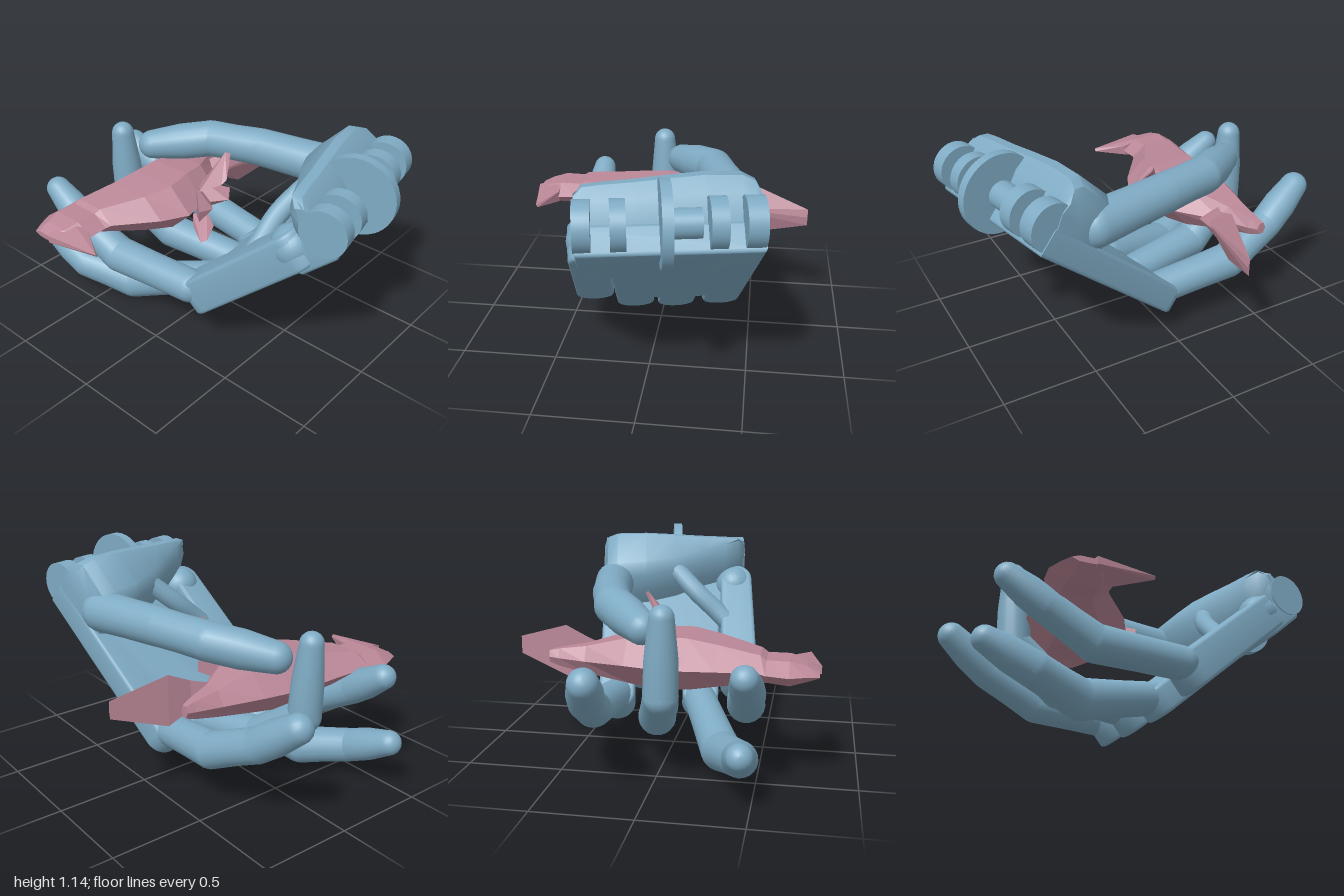
import * as THREE from 'three';
import { toCreasedNormals } from 'three/addons/utils/BufferGeometryUtils.js';
import { ConvexGeometry } from 'three/addons/geometries/ConvexGeometry.js';

const V = (x, y, z) => new THREE.Vector3(x, y, z);
const blue = new THREE.MeshStandardMaterial({ color: 0x7fabc4 });
const pink = new THREE.MeshStandardMaterial({ color: 0xbb8898, flatShading: true });

function add(parent, name, geometry, material = blue) {
  const mesh = new THREE.Mesh(geometry, material);
  mesh.name = name;
  parent.add(mesh);
  return mesh;
}

// Closed loft through rings of equal size, turned outward by its signed volume
function loft(rings) {
  const n = rings[0].length, tris = [];
  const mid = ring => ring.reduce((s, p) => s.add(p), V(0, 0, 0)).divideScalar(n);
  for (let i = 0; i < rings.length - 1; i++) {
    for (let j = 0; j < n; j++) {
      const k = (j + 1) % n, A = rings[i], B = rings[i + 1];
      tris.push([A[j], A[k], B[k]], [A[j], B[k], B[j]]);
    }
  }
  const first = rings[0], last = rings[rings.length - 1];
  for (let j = 0; j < n; j++) {
    const k = (j + 1) % n;
    tris.push([first[k], first[j], mid(first)], [last[j], last[k], mid(last)]);
  }
  const volume = tris.reduce((s, [a, b, c]) => s + a.dot(b.clone().cross(c)), 0);
  const points = tris.flatMap(([a, b, c]) => (volume > 0 ? [a, b, c] : [a, c, b]));
  const g = new THREE.BufferGeometry().setFromPoints(points);
  g.computeVertexNormals();
  return g;
}

// Tapered finger bone with rounded ends centred on p and q; swell scales its middle
function bone(parent, name, p, q, r1, r2, swell) {
  const length = p.distanceTo(q), profile = [];
  for (let i = 0; i <= 6; i++) {
    const t = (i / 6) * Math.PI / 2;
    profile.push(new THREE.Vector2(r1 * Math.sin(t), -r1 * Math.cos(t)));
  }
  profile.push(new THREE.Vector2((r1 + r2) / 2 * swell, length / 2));
  for (let i = 0; i <= 6; i++) {
    const t = (i / 6) * Math.PI / 2;
    profile.push(new THREE.Vector2(r2 * Math.cos(t), length + r2 * Math.sin(t)));
  }
  const mesh = add(parent, name, new THREE.LatheGeometry(profile, 20));
  mesh.position.copy(p);
  mesh.quaternion.setFromUnitVectors(V(0, 1, 0), q.clone().sub(p).normalize());
}

function finger(parent, name, joints, radii) {
  const group = new THREE.Group();
  group.name = name;
  const names = ['lowerBone', 'middleBone', 'fingertip'];
  const swells = [0.98, 0.97, 1.1];
  for (let i = 0; i < 3; i++) {
    bone(group, names[i], V(...joints[i]), V(...joints[i + 1]), radii[i], radii[i + 1], swells[i]);
  }
  parent.add(group);
}

function buildPalm() {
  // Local frame: x across the palm, y from knuckles to wrist, z out of the palm
  const palm = new THREE.Group();
  palm.name = 'palm';
  const across = V(0.195, 0, 0.98).normalize();
  const along = V(0.74, 0.657, -0.147).normalize();
  const out = across.clone().cross(along).normalize();
  palm.applyMatrix4(new THREE.Matrix4().makeBasis(across, along, out).setPosition(0.07, 0.2, -0.09));

  const slab = (name, shape, depth, z) => {
    const g = new THREE.ExtrudeGeometry(shape, {
      depth, bevelThickness: 0.02, bevelSize: 0.018, bevelSegments: 3, curveSegments: 12,
    });
    add(palm, name, toCreasedNormals(g.translate(0, 0, z), 0.6));
  };

  // Back plate with a rounded lobe for each of three knuckles
  const r = 0.083, plate = new THREE.Shape();
  plate.moveTo(-0.318, 1.0);
  [[-0.245, 0.03], [0, 0], [0.225, 0.03]].forEach(([x, y], i) => {
    plate.lineTo(x - r, y + (i ? 0.14 : 0));
    plate.absarc(x, y, r, Math.PI, 2 * Math.PI, false);
    if (i < 2) plate.lineTo(x + r, y + 0.13);
  });
  plate.lineTo(0.32, 0.22).lineTo(0.34, 0.6).lineTo(0.5, 0.8).lineTo(0.5, 1.0);
  plate.closePath();
  slab('palmPlate', plate, 0.11, -0.035);

  // Separate thick column below the little finger, with a round joint at its top
  const column = new THREE.Shape();
  column.absarc(0.445, 0.13, 0.083, Math.PI, 2 * Math.PI, false);
  column.absarc(0.465, 0.8, 0.075, 0, Math.PI, false);
  column.closePath();
  slab('littleFingerColumn', column, 0.155, -0.008);
  add(palm, 'columnJoint', new THREE.SphereGeometry(0.11, 24, 16)).position.set(0.455, 0.8, 0.085);

  // Heel of the hand: high at the thumb side, lower toward the little finger
  const heelSections = [[-0.335, 0.72, 0.24], [-0.31, 0.66, 0.31], [-0.25, 0.64, 0.345], [-0.08, 0.65, 0.35],
    [0.1, 0.7, 0.335], [0.25, 0.77, 0.32], [0.4, 0.82, 0.31], [0.48, 0.86, 0.3], [0.52, 0.9, 0.25]];
  const heel = heelSections.map(([x, start, h]) => [
    [start, 0.05], [start + 0.02, h * 0.5], [start + 0.06, h * 0.8], [start + 0.12, h * 0.96],
    [0.98, h], [1.02, h * 0.9], [1.03, h * 0.65], [1.0, 0.06], [0.96, 0],
  ].map(([y, z]) => V(x, y, z)));
  add(palm, 'heelOfHand', toCreasedNormals(loft(heel), 0.7));

  // Curved web from the heel to the little finger side
  const web = new THREE.CatmullRomCurve3([V(0.08, 0.82, 0.24), V(0.22, 0.65, 0.2), V(0.34, 0.55, 0.14), V(0.44, 0.46, 0.09)]);
  add(palm, 'palmWeb', new THREE.TubeGeometry(web, 16, 0.055, 12));

  // Wrist hinge lugs and the large centre disc
  const disc = (name, x, radius, width) => {
    const g = new THREE.CylinderGeometry(radius, radius, width, 40).rotateZ(Math.PI / 2);
    add(palm, name, g).position.set(x, 1.03, 0.085);
  };
  [[-0.285, 0.09], [-0.12, 0.08], [0.325, 0.07], [0.485, 0.08]].forEach(([x, w]) => disc('wristLug', x, 0.12, w));
  disc('wristDisc', 0.115, 0.205, 0.05);
  disc('wristPin', 0.03, 0.07, 0.16);
  return palm;
}

function buildHand() {
  const hand = new THREE.Group();
  hand.name = 'hand';
  hand.add(buildPalm());
  finger(hand, 'indexFinger',
    [[0.02, 0.26, -0.33], [-0.4, 0.31, -0.35], [-0.69, 0.44, -0.3], [-0.91, 0.6, -0.25]],
    [0.09, 0.098, 0.09, 0.075]);
  finger(hand, 'middleFinger',
    [[0.04, 0.245, -0.09], [-0.37, 0.28, -0.02], [-0.64, 0.47, 0.05], [-0.66, 0.86, 0.06]],
    [0.09, 0.098, 0.088, 0.062]);
  finger(hand, 'ringFinger',
    [[0.09, 0.245, 0.13], [-0.36, 0.11, 0.31], [-0.62, 0.175, 0.43], [-0.86, 0.28, 0.45]],
    [0.09, 0.105, 0.09, 0.066]);
  finger(hand, 'littleFinger',
    [[0.15, 0.355, 0.38], [-0.33, 0.36, 0.43], [-0.58, 0.49, 0.46], [-0.78, 0.62, 0.46]],
    [0.09, 0.098, 0.086, 0.066]);
  finger(hand, 'thumb',
    [[0.45, 0.83, -0.44], [0.02, 0.84, -0.35], [-0.27, 0.83, -0.265], [-0.54, 0.78, -0.06]],
    [0.115, 0.105, 0.103, 0.083]);
  return hand;
}

function buildCreature() {
  const creature = new THREE.Group();
  creature.name = 'creature';

  // Faceted body: z, left and right edges, bottom and top
  const sections = [
    [-0.55, -0.48, -0.43, 0.57, 0.63], [-0.5, -0.485, -0.4, 0.55, 0.64],
    [-0.36, -0.51, -0.33, 0.52, 0.66], [-0.15, -0.57, -0.15, 0.48, 0.71],
    [0.0, -0.59, -0.1, 0.455, 0.725], [0.15, -0.6, -0.06, 0.46, 0.72],
    [0.3, -0.605, -0.13, 0.49, 0.7], [0.51, -0.615, -0.29, 0.53, 0.67],
    [0.54, -0.625, -0.3, 0.54, 0.65], [0.65, -0.635, -0.3, 0.53, 0.65],
    [0.73, -0.6, -0.34, 0.55, 0.63], [0.79, -0.57, -0.42, 0.57, 0.6],
  ];
  add(creature, 'body', loft(sections.map(([z, x0, x1, y0, y1]) => {
    const ring = [];
    for (let i = 0; i < 6; i++) {
      const t = (i / 6) * Math.PI * 2;
      ring.push(V((x0 + x1) / 2 + Math.cos(t) * (x1 - x0) / 2,
        (y0 + y1) / 2 + Math.sin(t) / 0.866 * (y1 - y0) / 2, z));
    }
    return ring;
  })), pink);

  // Pointed snout turned to the side
  const hull = (name, points) => add(creature, name, new ConvexGeometry(points.map(p => V(...p))), pink);
  hull('snout', [[-0.45, 0.53, 0.65], [-0.45, 0.65, 0.65], [-0.31, 0.56, 0.65], [-0.31, 0.62, 0.65],
    [-0.45, 0.57, 0.8], [-0.45, 0.61, 0.8], [-0.145, 0.585, 0.735], [-0.145, 0.6, 0.745]]);

  // Upright tail blade with a narrow stalk
  hull('tailStalk', [[-0.36, 0.53, -0.28], [-0.36, 0.64, -0.28], [-0.25, 0.58, -0.28],
    [-0.29, 0.5, -0.42], [-0.29, 0.67, -0.42], [-0.25, 0.58, -0.42]]);
  hull('tailBlade', [[-0.31, 0.54, -0.34], [-0.31, 0.64, -0.34], [-0.26, 0.59, -0.34],
    [-0.28, 0.445, -0.52], [-0.28, 0.72, -0.52], [-0.24, 0.59, -0.52],
    [-0.195, 0.535, -0.8], [-0.195, 0.63, -0.8], [-0.187, 0.585, -0.8]]);

  // Side fins, one raised, one lowered and two pointing outward
  hull('upperFin', [[-0.15, 0.67, -0.03], [-0.1, 0.67, 0.03], [-0.11, 0.74, -0.07],
    [-0.05, 0.87, -0.13], [-0.03, 0.86, -0.15], [0.02, 0.75, -0.06], [0.01, 0.73, -0.03]]);
  hull('lowerFin', [[-0.16, 0.5, 0.02], [-0.1, 0.52, -0.03], [-0.12, 0.45, 0.06],
    [0.0, 0.43, 0.13], [0.02, 0.44, 0.1], [-0.02, 0.47, 0.0]]);
  hull('frontFin', [[-0.13, 0.5, 0.02], [-0.13, 0.69, 0.02], [-0.1, 0.6, -0.05],
    [0.0, 0.57, 0.14], [0.0, 0.63, 0.14], [0.0, 0.6, 0.03]]);
  hull('backFin', [[-0.15, 0.51, -0.05], [-0.15, 0.69, -0.05], [-0.09, 0.6, 0.02],
    [-0.05, 0.57, -0.17], [0.0, 0.6, -0.1], [-0.05, 0.63, -0.17]]);
  return creature;
}

export function createModel() {
  const model = new THREE.Group();
  model.name = 'handHoldingCreature';
  model.add(buildHand(), buildCreature());
  return model;
}
